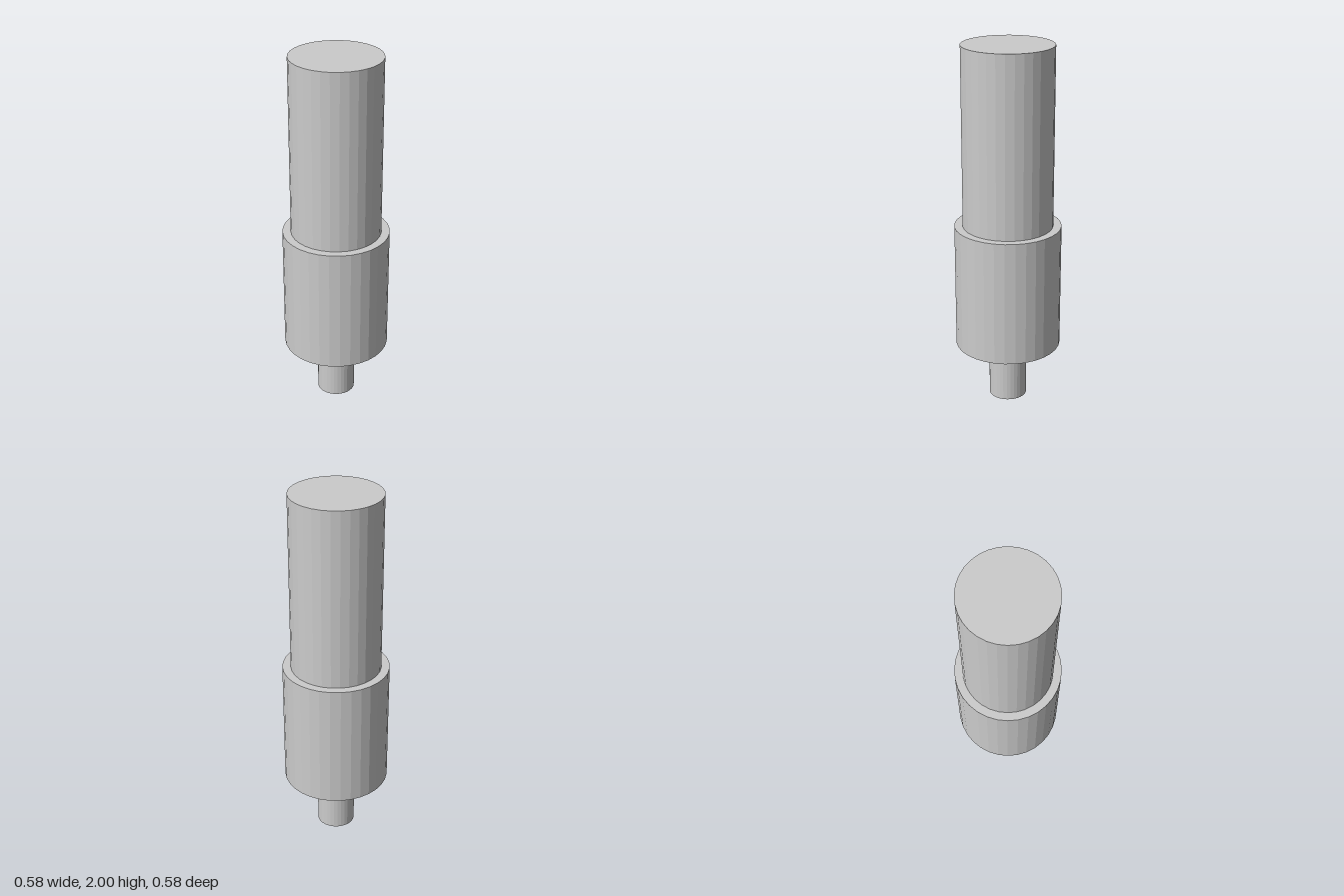
import * as THREE from 'three';

const SIDES = 32;

export function createModel() {
  const model = new THREE.Group();
  const material = new THREE.MeshStandardMaterial({ color: 0xcccccc, flatShading: true });

  // Upright capped cylinder spanning two heights
  const addCylinder = (name, radius, bottom, top) => {
    const height = top - bottom;
    const mesh = new THREE.Mesh(new THREE.CylinderGeometry(radius, radius, height, SIDES), material);
    mesh.name = name;
    mesh.position.y = bottom + height / 2;
    model.add(mesh);
  };

  addCylinder('shaft', 0.104, 0, 0.325);
  addCylinder('collar', 0.29, 0.325, 1.02);
  addCylinder('upperBody', 0.245, 1.02, 2);

  return model;
}
